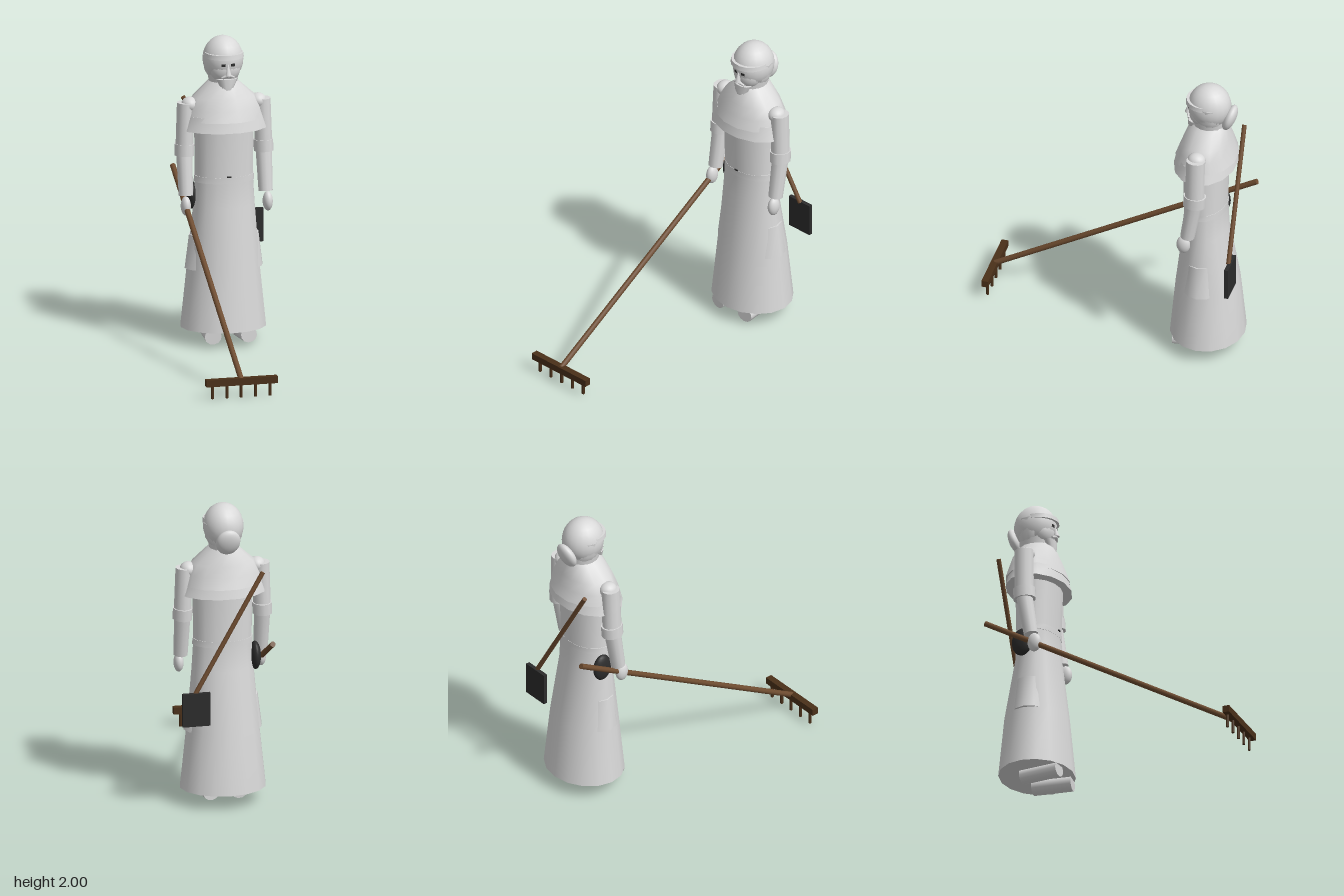
import * as THREE from 'three';

const CX = 0.085; // body centre line
const mat = (name, color, side = THREE.FrontSide) => {
  const m = new THREE.MeshStandardMaterial({ color, side });
  m.name = name;
  return m;
};

export function createModel() {
  const group = new THREE.Group();
  const cloth = mat('pale cloth', 0xd9d9d9);
  const wood = mat('wood', 0x6e4c30);
  const darkWood = mat('dark wood', 0x4a3019);
  const iron = mat('dark iron', 0x2c2c2c);

  const add = (name, geo, material, x = 0, y = 0, z = 0) => {
    const m = new THREE.Mesh(geo, material);
    m.name = name;
    m.position.set(x, y, z);
    group.add(m);
    return m;
  };

  // Closed body through elliptical rings [y, halfX, halfZ, centreZ], bottom to top
  const loft = (name, rings, sides = 16, material = cloth) => {
    const pos = [], idx = [];
    const ring = ([y, hx, hz, cz]) => {
      const start = pos.length / 3;
      for (let i = 0; i < sides; i++) {
        const a = (i / sides) * Math.PI * 2;
        pos.push(CX + hx * Math.cos(a), y, cz + hz * Math.sin(a));
      }
      return start;
    };
    const starts = rings.map(ring);
    for (let r = 0; r < rings.length - 1; r++) {
      for (let i = 0; i < sides; i++) {
        const n = (i + 1) % sides, a = starts[r], b = starts[r + 1];
        idx.push(a + i, b + i, a + n, b + i, b + n, a + n);
      }
    }
    [rings[0], rings[rings.length - 1]].forEach((r, top) => {
      const s = ring(r), c = pos.length / 3;
      pos.push(CX, r[0], r[3]);
      for (let i = 0; i < sides; i++) {
        const n = (i + 1) % sides;
        idx.push(c, s + (top ? n : i), s + (top ? i : n));
      }
    });
    const g = new THREE.BufferGeometry();
    g.setAttribute('position', new THREE.Float32BufferAttribute(pos, 3));
    g.setIndex(idx);
    g.computeVertexNormals();
    return add(name, g, material);
  };

  // Tapered rod between two points
  const rod = (name, a, b, ra, rb, material, sides = 12) => {
    const p = new THREE.Vector3(...a), q = new THREE.Vector3(...b);
    const d = q.clone().sub(p);
    const m = add(name, new THREE.CylinderGeometry(rb, ra, d.length(), sides), material);
    m.position.copy(p).add(q).multiplyScalar(0.5);
    m.quaternion.setFromUnitVectors(new THREE.Vector3(0, 1, 0), d.normalize());
    return m;
  };

  const ball = (name, c, r, material = cloth) => {
    const m = add(name, new THREE.SphereGeometry(1, 20, 14), material, ...c);
    m.scale.set(...r);
    return m;
  };

  // Robe, side skirt layer and belt
  loft('robe', [
    [0.10, 0.28, 0.243, -0.628], [0.50, 0.238, 0.205, -0.627], [0.90, 0.203, 0.143, -0.615],
    [1.08, 0.192, 0.136, -0.615], [1.40, 0.196, 0.145, -0.613], [1.55, 0.19, 0.14, -0.613],
  ]);
  loft('sideSkirt', [[0.49, 0.257, 0.165, -0.622], [0.71, 0.229, 0.142, -0.62]]);
  loft('belt', [[1.06, 0.199, 0.138, -0.615], [1.10, 0.197, 0.138, -0.615]]);
  add('buckle', new THREE.BoxGeometry(0.025, 0.008, 0.008), iron, CX, 1.105, -0.477);

  // Two-layer shoulder cape
  loft('capeHem', [[1.405, 0.283, 0.202, -0.615], [1.50, 0.25, 0.18, -0.615]], 14);
  loft('cape', [
    [1.47, 0.258, 0.2, -0.622], [1.54, 0.24, 0.175, -0.622], [1.61, 0.205, 0.152, -0.625],
    [1.69, 0.115, 0.125, -0.63], [1.72, 0.08, 0.1, -0.635],
  ], 14);

  // Hooded head
  ball('hood', [CX, 1.85, -0.638], [0.13, 0.15, 0.14]);
  loft('neck', [[1.66, 0.085, 0.1, -0.635], [1.76, 0.1, 0.11, -0.635]]);
  loft('browBand', [[1.87, 0.128, 0.127, -0.61], [1.9, 0.124, 0.122, -0.61]], 18);
  loft('faceFrame', [[1.73, 0.09, 0.09, -0.645], [1.78, 0.12, 0.105, -0.645], [1.88, 0.13, 0.11, -0.645]]);
  ball('face', [CX, 1.8, -0.585], [0.1, 0.1, 0.08]);
  const nose = add('nose', new THREE.ConeGeometry(0.02, 0.085, 8), cloth, CX, 1.81, -0.498);
  nose.rotation.x = -0.12;
  loft('beard', [[1.65, 0.03, 0.022, -0.523], [1.69, 0.048, 0.034, -0.53], [1.74, 0.07, 0.042, -0.54]], 10);
  const fold = ball('hoodFold', [CX, 1.778, -0.772], [0.08, 0.092, 0.04]);
  fold.rotation.x = -0.35;

  // Mirrored face details, arms and feet
  for (const s of [-1, 1]) {
    const X = (d) => CX + s * d;
    add('eye', new THREE.BoxGeometry(0.026, 0.018, 0.009), iron, X(0.031), 1.835, -0.508).rotation.y = s * 0.25;
    rod('moustache', [X(0.002), 1.768, -0.498], [X(0.042), 1.752, -0.508], 0.012, 0.006, cloth, 8);
    ball('shoulder', [X(0.225), 1.565, -0.615], [0.055, 0.05, 0.06]);
    rod('upperArm', [X(0.262), 1.24, -0.612], [X(0.253), 1.58, -0.617], 0.058, 0.055, cloth).scale.z = 1.12;
    rod('cuff', [X(0.262), 1.235, -0.61], [X(0.26), 1.31, -0.614], 0.064, 0.064, cloth).scale.z = 1.15;
    rod('forearm', [X(0.263), 0.98, -0.565], [X(0.262), 1.26, -0.612], 0.047, 0.054, cloth);
    ball('hand', [X(0.27), 0.918, -0.54], [0.032, 0.063, 0.045]);
    const foot = rod('foot', [X(0.09), 0.072, -0.69], [X(0.118), 0.072, -0.43], 0.05, 0.05, cloth);
    foot.scale.x = 1.1;
  }

  // Dark pouch at the right hip
  ball('pouch', [-0.122, 0.965, -0.65], [0.035, 0.093, 0.068], iron);

  // Rake held in the right hand
  rod('rakeHandle', [-0.184, 0.115, 0.865], [-0.184, 1.105, -0.875], 0.018, 0.018, wood);
  add('rakeBar', new THREE.BoxGeometry(0.47, 0.045, 0.044), darkWood, -0.184, 0.107, 0.867);
  for (let i = -2; i <= 2; i++) {
    add('rakeTooth', new THREE.CylinderGeometry(0.01, 0.01, 0.095, 8), darkWood, -0.184 + i * 0.0945, 0.0475, 0.86);
  }

  // Shovel slung across the back
  rod('shovelHandle', [-0.135, 1.57, -0.805], [0.315, 0.79, -0.828], 0.015, 0.015, wood);
  add('shovelBlade', new THREE.BoxGeometry(0.18, 0.22, 0.026), iron, 0.31, 0.69, -0.837);

  return group;
}
